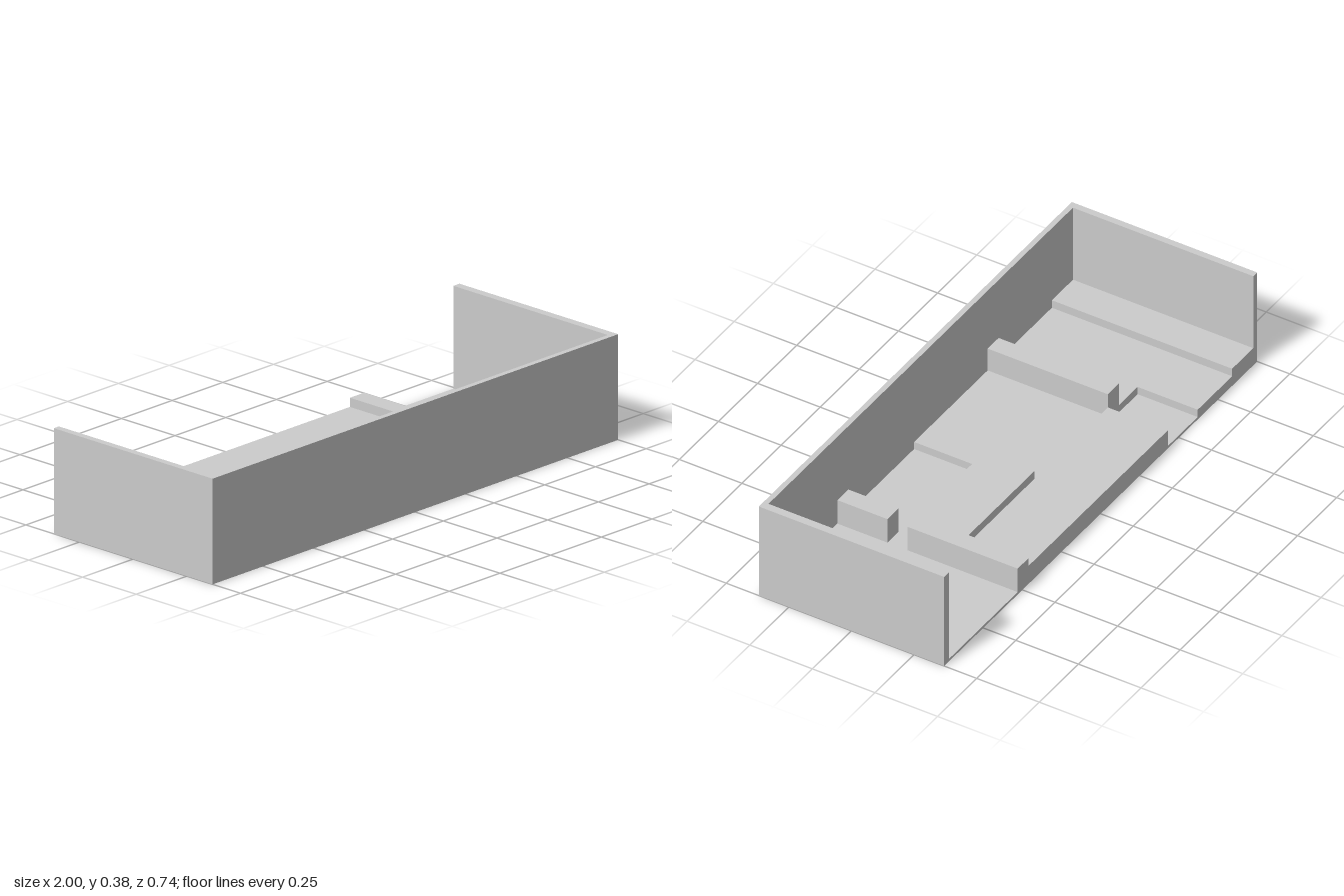
import * as THREE from 'three';

const FLOOR = 0.01;
const BACK = -0.37, FRONT = 0.37, INNER = 0.35; // z of open back, front wall, its inside

// Solid raised from a plan outline of [x, z] corners
function prism(name, plan, y0, y1, material) {
  const shape = new THREE.Shape(plan.map(([x, z]) => new THREE.Vector2(x, -z)));
  const geometry = new THREE.ExtrudeGeometry(shape, { depth: y1 - y0, bevelEnabled: false });
  geometry.rotateX(-Math.PI / 2).translate(0, y0, 0);
  const mesh = new THREE.Mesh(geometry, material);
  mesh.name = name;
  return mesh;
}

const rect = (x0, x1, z0, z1) => [[x0, z0], [x1, z0], [x1, z1], [x0, z1]];

export function createModel() {
  const group = new THREE.Group();
  group.name = 'openTray';
  const material = new THREE.MeshStandardMaterial({ color: 0xcccccc, flatShading: true });
  const add = (name, plan, top, bottom = FLOOR) =>
    group.add(prism(name, plan, bottom, top, material));

  // Thin floor and the wall around three sides
  add('floor', rect(-1, 1, BACK, FRONT), FLOOR, 0);
  add('walls', [
    [-1, BACK], [-0.975, BACK], [-0.975, INNER], [0.97, INNER],
    [0.97, BACK], [1, BACK], [1, FRONT], [-1, FRONT],
  ], 0.38);

  // Two steps beside the right wall, the lower one notched at the back
  add('upperStep', rect(-0.975, -0.84, BACK, INNER), 0.073);
  add('lowerStep', [
    [-0.84, BACK], [-0.62, BACK], [-0.62, -0.13],
    [-0.5, -0.13], [-0.5, INNER], [-0.84, INNER],
  ], 0.041);

  // Divider and the low platform next to it
  add('divider', rect(-0.5, -0.43, -0.13, INNER), 0.133);
  add('platform', rect(-0.43, 0.04, -0.13, INNER), 0.04);

  // Long block at the open back, wrapped by an L-shaped ledge
  add('backBlock', rect(-0.43, 0.46, BACK, -0.13), 0.077);
  add('ledge', [
    [0.46, BACK], [0.53, BACK], [0.53, 0.07],
    [0.04, 0.07], [0.04, -0.13], [0.46, -0.13],
  ], 0.11);

  // Short stub against the front wall
  add('stub', rect(0.46, 0.53, 0.15, INNER), 0.11);

  return group;
}
